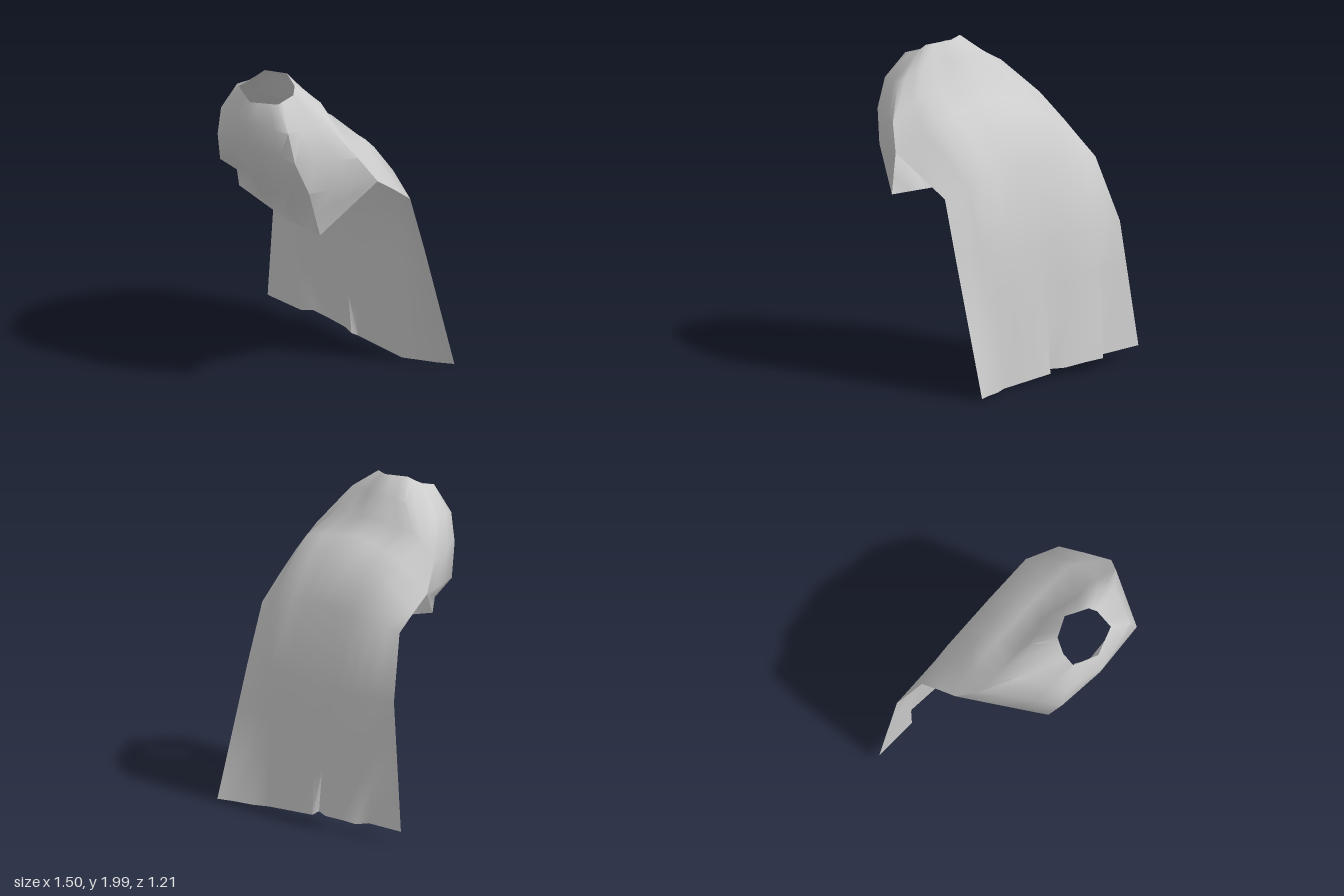
import * as THREE from 'three';
import { mergeGeometries, mergeVertices, toCreasedNormals } from 'three/addons/utils/BufferGeometryUtils.js';

const STEP = 3; // samples between neighbouring key points
const vec = (p) => new THREE.Vector3(...p);

// Straight-sided row through key points
function row(keys) {
  const k = keys.map(vec), out = [k[0]];
  for (let i = 1; i < k.length; i++)
    for (let s = 1; s <= STEP; s++) out.push(k[i - 1].clone().lerp(k[i], s / STEP));
  return out;
}

// Closed row: the last sample repeats the first and is dropped
const ring = (keys) => row([...keys, keys[0]]).slice(0, -1);

const blendRows = (a, b, t) => a.map((p, i) => p.clone().lerp(b[i], t));

// Cloth surface through rows ordered from top to bottom
function loft(rows, closed = false) {
  const w = rows[0].length, index = [];
  for (let r = 0; r < rows.length - 1; r++)
    for (let c = 0; c < (closed ? w : w - 1); c++) {
      const d = (c + 1) % w;
      const a = r * w + c, b = a + w, e = r * w + d, f = e + w;
      index.push(a, b, e, e, b, f);
    }
  const g = new THREE.BufferGeometry().setFromPoints(rows.flat());
  g.setIndex(index);
  return g;
}

export function createModel() {
  const group = new THREE.Group();

  // Mantle rings: front, front left, left, back left, back, back right, right, front right
  const rings = [
    [[.12, 1.89, .56], [.3, 1.91, .5], [.31, 1.94, .38], [.28, 1.98, .34], [.14, 2, .27], [.01, 2, .33], [-.03, 1.95, .41], [-.04, 1.93, .5]],
    [[.12, 1.77, .605], [.43, 1.77, .54], [.54, 1.79, .31], [.4, 1.88, .24], [.12, 1.89, .165], [-.1, 1.89, .21], [-.28, 1.81, .28], [-.15, 1.77, .54]],
    [[.12, 1.62, .575], [.49, 1.59, .54], [.68, 1.59, .2], [.46, 1.73, .17], [.1, 1.76, .12], [-.25, 1.73, .15], [-.45, 1.61, .12], [-.18, 1.59, .54]],
    [[.15, 1.4, .495], [.54, 1.39, .47], [.75, 1.43, .1], [.52, 1.6, -.02], [.1, 1.68, -.01], [-.28, 1.62, -.02], [-.53, 1.45, -.01], [-.23, 1.39, .47]],
  ].map(ring);
  const shoulder = rings[3];

  // Front hem with gathered pleats, hanging from the front half of the shoulder ring
  const bibTop = [...shoulder.slice(6 * STEP), ...shoulder.slice(0, 2 * STEP + 1)];
  const hem = row([[-.53, 1.45, -.01], [-.2, 1.19, .34], [.17, 1.09, .33], [.53, 1.09, .37], [.75, 1.43, .1]]);
  const bibMid = blendRows(bibTop, hem, .5);
  const pleats = [0, 0, -.03, -.06, -.06, .01, -.08, .01, -.05, 0, -.02, 0, 0];
  bibMid.forEach((p, i) => { p.z += pleats[i]; });

  // Back of the cape, continuing the back half of the shoulder ring
  const cape = [
    shoulder.slice(2 * STEP, 6 * STEP + 1),
    row([[.71, 1.31, -.08], [.5, 1.52, -.11], [.1, 1.6, -.14], [-.26, 1.55, -.13], [-.54, 1.36, -.13]]),
    row([[.67, 1.19, -.25], [.45, 1.29, -.32], [.1, 1.31, -.31], [-.28, 1.3, -.3], [-.555, 1.26, -.26]]),
    row([[.68, .83, -.36], [.42, .86, -.42], [.05, .8, -.38], [-.28, .85, -.4], [-.64, .87, -.385]]),
  ];

  // Lower cape: flat centre gore, with a narrow fold beside it and a second one further right
  const bottom = [
    [.69, .02, -.6], [.59, .015, -.55], [.48, .01, -.51], [.38, .01, -.46], [.25, .02, -.46],
    [.13, .03, -.46], [0, .04, -.46], [-.02, .06, -.425], [-.12, .06, -.465], [-.27, .07, -.475],
    [-.41, .075, -.485], [-.46, .08, -.425], [-.75, .09, -.43],
  ].map(vec);
  const skirt = [0, .33, .67, 1].map((t) => blendRows(cape[3], bottom, t));

  const parts = [loft(rings, true), loft([bibTop, bibMid, hem]), loft(cape), loft(skirt)];
  const cloth = toCreasedNormals(mergeVertices(mergeGeometries(parts), 1e-4), 1);
  const mesh = new THREE.Mesh(cloth, new THREE.MeshStandardMaterial({ color: 0xcccccc, side: THREE.DoubleSide }));
  mesh.name = 'cape';
  group.add(mesh);
  return group;
}
